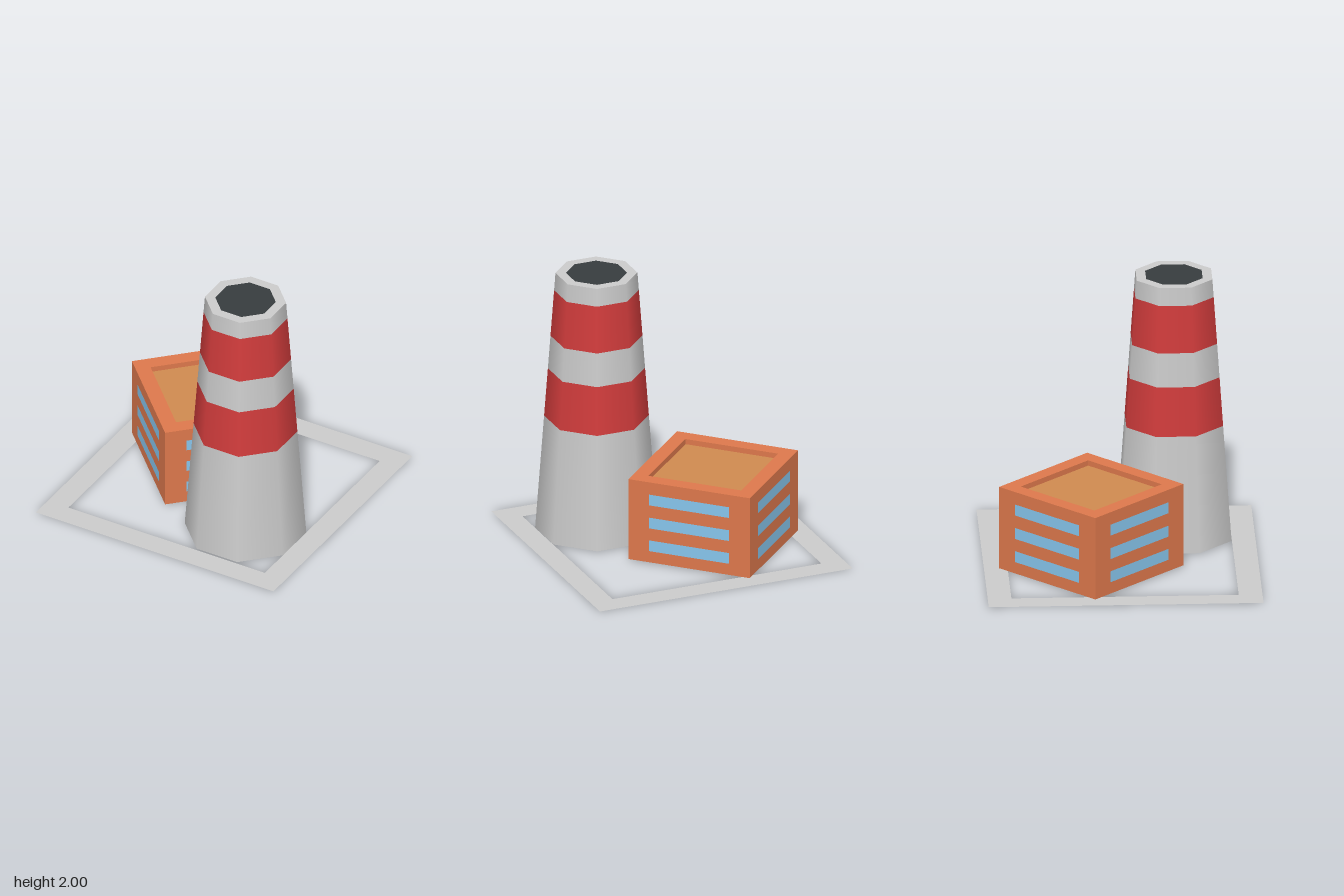
import * as THREE from 'three';

const GREY = 0xcccccc, RED = 0xd13c3c, BRICK = 0xdd784c, ROOF = 0xcf8a4f, GLASS = 0x87c5ec, SOOT = 0x373c3e;
const BASE = 0.01;

function add(parent, name, geometry, color, options = {}) {
  const mesh = new THREE.Mesh(geometry, new THREE.MeshStandardMaterial({ color, ...options }));
  mesh.name = name;
  parent.add(mesh);
  return mesh;
}

// Flat square frame lying on the ground
function createGroundFrame() {
  const square = (Type, h) => new Type([[-h, -h], [h, -h], [h, h], [-h, h]].map(([x, y]) => new THREE.Vector2(x, y)));
  const shape = square(THREE.Shape, 0.988);
  shape.holes.push(square(THREE.Path, 0.817));
  const group = new THREE.Group();
  group.name = 'groundFrame';
  add(group, 'groundFrameSurface', new THREE.ShapeGeometry(shape).rotateX(-Math.PI / 2), GREY, { side: THREE.DoubleSide });
  return group;
}

// Tapered octagonal chimney, open at the bottom, in stacked colour bands
function createChimney() {
  const group = new THREE.Group();
  group.name = 'chimney';
  group.position.set(0.416, 0, 0.406);
  const turn = Math.PI / 8, toCorner = 1 / Math.cos(turn);
  const radiusAt = y => THREE.MathUtils.mapLinear(y, BASE, 2, 0.407, 0.272) * toCorner;

  const levels = [BASE, 0.885, 1.255, 1.51, 1.865, 2];
  for (let i = 0; i < levels.length - 1; i++) {
    const [low, high] = [levels[i], levels[i + 1]];
    const band = new THREE.CylinderGeometry(radiusAt(high), radiusAt(low), high - low, 8, 1, true, turn);
    const red = i % 2 === 1;
    add(group, red ? 'redBand' : 'greyBand', band, red ? RED : GREY, { side: THREE.DoubleSide })
      .position.y = (low + high) / 2;
  }

  // Rim and dark mouth
  const mouth = 0.203 * toCorner;
  add(group, 'rim', new THREE.RingGeometry(mouth, radiusAt(2), 8, 1, turn).rotateX(-Math.PI / 2), GREY).position.y = 2;
  add(group, 'mouth', new THREE.CircleGeometry(mouth, 8, turn).rotateX(-Math.PI / 2), SOOT).position.y = 2;
  return group;
}

// Square building set diagonally, with a sunken roof and window strips
function createBuilding() {
  const group = new THREE.Group();
  group.name = 'building';
  group.position.set(-0.23, 0, -0.217);
  const corner = 0.662, inner = 0.507, top = 0.635, roofY = 0.595;

  // Walls, parapet top and inner lip in one four-sided turn
  const profile = [[corner, BASE], [corner, top], [inner, top], [inner, roofY]].map(([r, y]) => new THREE.Vector2(r, y));
  add(group, 'walls', new THREE.LatheGeometry(profile, 4), BRICK, { flatShading: true });
  add(group, 'floor', new THREE.CircleGeometry(corner, 4).rotateX(Math.PI / 2), BRICK).position.y = BASE;
  add(group, 'roof', new THREE.CircleGeometry(inner, 4).rotateX(-Math.PI / 2), ROOF).position.y = roofY;

  // Three window strips on each wall
  const wallDistance = corner * Math.SQRT1_2 + 0.002;
  for (let side = 0; side < 4; side++) {
    const wall = new THREE.Group();
    wall.name = 'windowWall';
    wall.rotation.y = Math.PI / 4 + side * Math.PI / 2;
    for (const y of [0.14, 0.318, 0.498]) {
      add(wall, 'windowStrip', new THREE.PlaneGeometry(0.62, 0.084), GLASS).position.set(0, y, wallDistance);
    }
    group.add(wall);
  }
  return group;
}

export function createModel() {
  const model = new THREE.Group();
  model.name = 'factory';
  model.add(createGroundFrame(), createChimney(), createBuilding());
  return model;
}
